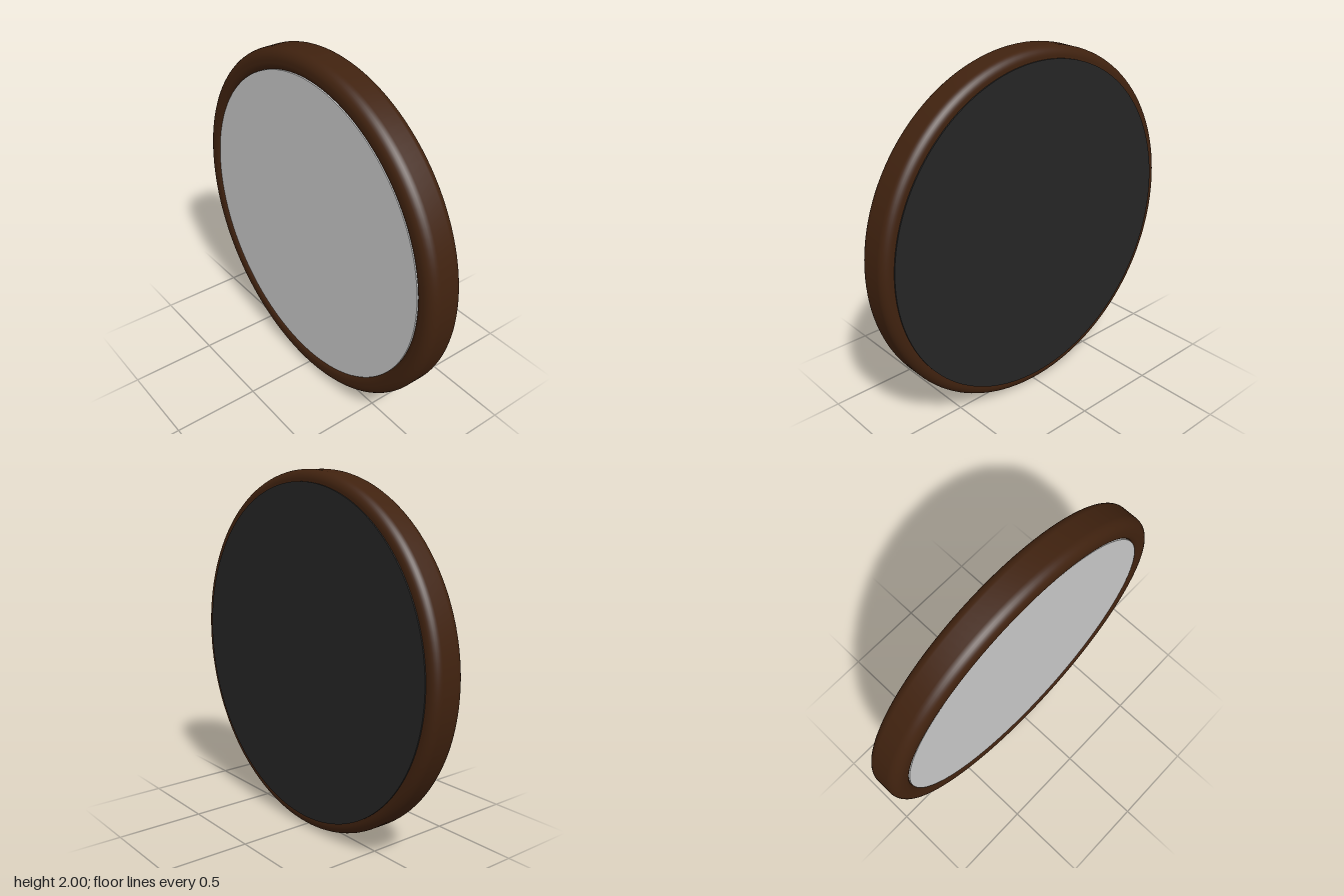
import * as THREE from 'three';

const SEGMENTS = 128;

function material(name, color) {
  const m = new THREE.MeshStandardMaterial({ color });
  m.name = name;
  return m;
}

// Points on a rounded corner of the frame section, in (radius, depth)
function corner(cx, cy, rx, ry, from, to, steps = 8) {
  return Array.from({ length: steps + 1 }, (_, i) => {
    const a = THREE.MathUtils.degToRad(from + ((to - from) * i) / steps);
    return new THREE.Vector2(cx + rx * Math.cos(a), cy + ry * Math.sin(a));
  });
}

// Thin disc lying between two depths, facing along z
function disc(name, radius, back, front, mat) {
  const geometry = new THREE.CylinderGeometry(radius, radius, front - back, SEGMENTS);
  geometry.rotateX(Math.PI / 2);
  geometry.translate(0, 1, (front + back) / 2);
  const mesh = new THREE.Mesh(geometry, mat);
  mesh.name = name;
  return mesh;
}

export function createModel() {
  const wood = material('dark wood', 0x40220f);
  const glass = material('mirror glass', 0xc8c8c8);
  const backing = material('black backing', 0x252525);

  const group = new THREE.Group();
  group.name = 'roundMirror';

  // Round frame: softly rounded section turned about the z axis
  const profile = [
    new THREE.Vector2(0.885, -0.098),
    ...corner(0.95, -0.048, 0.05, 0.05, -90, 0),
    ...corner(0.94, 0.045, 0.06, 0.06, 0, 90),
    ...corner(0.925, 0.075, 0.04, 0.03, 90, 180),
    new THREE.Vector2(0.885, 0.0),
  ];
  const frameGeometry = new THREE.LatheGeometry(profile, SEGMENTS);
  frameGeometry.rotateX(Math.PI / 2);
  frameGeometry.translate(0, 1, 0);
  const frame = new THREE.Mesh(frameGeometry, wood);
  frame.name = 'frame';
  group.add(frame);

  // Glass sits just inside the front lip, backing stands proud of the rear
  group.add(disc('mirrorGlass', 0.888, 0.07, 0.096, glass));
  group.add(disc('backPanel', 0.937, -0.105, -0.09, backing));

  return group;
}
